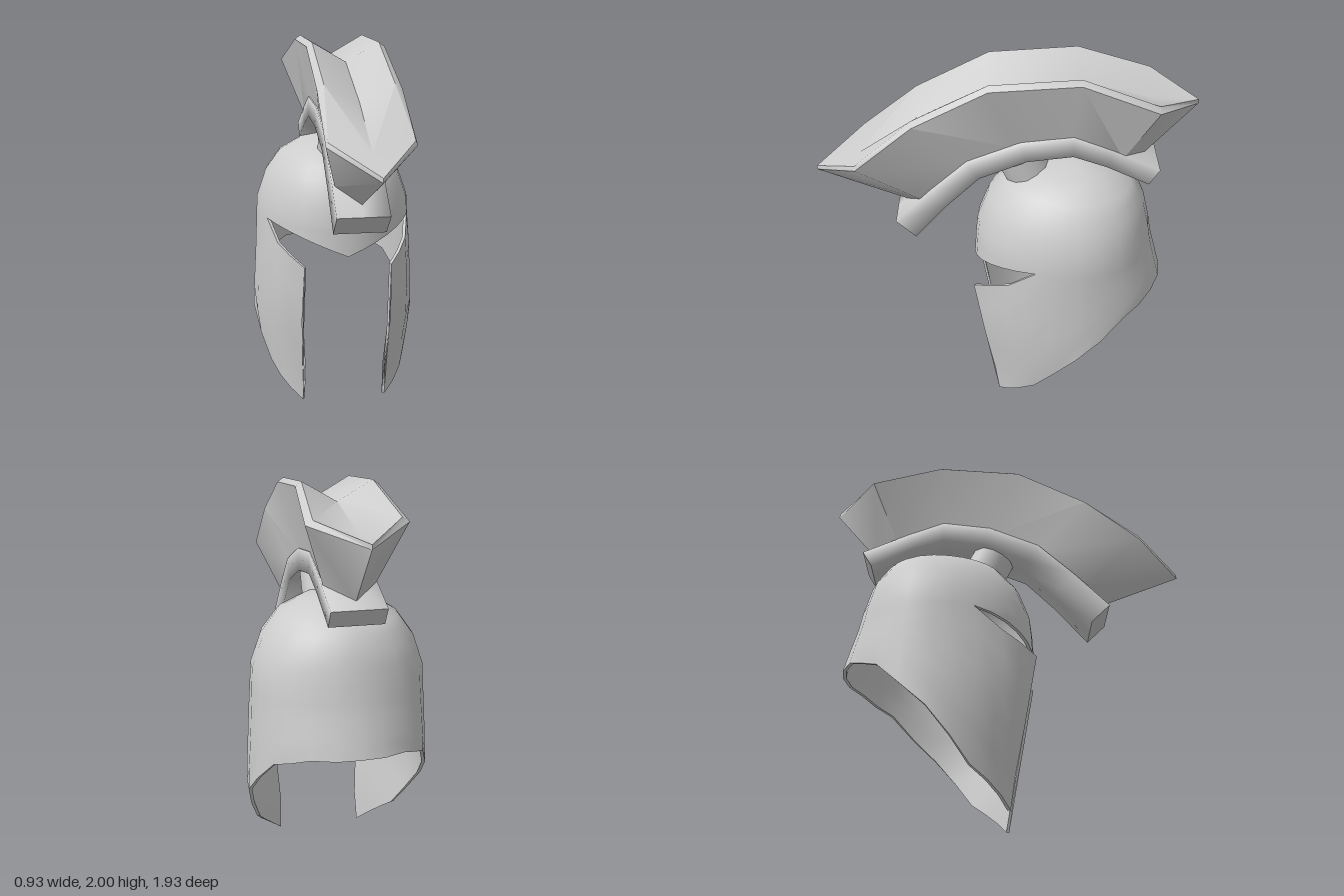
import * as THREE from 'three';
import { mergeVertices, toCreasedNormals } from 'three/addons/utils/BufferGeometryUtils.js';

const steel = new THREE.MeshStandardMaterial({ color: 0xcccccc, side: THREE.DoubleSide });
steel.name = 'steel';

// Mirrored mesh from grids of points given for the +x half
function mirroredMesh(name, grids, crease) {
  const pos = [];
  for (const rows of grids) {
    for (const s of [1, -1]) {
      for (let i = 0; i < rows.length - 1; i++) {
        for (let j = 0; j < rows[i].length - 1; j++) {
          const a = rows[i][j], b = rows[i][j + 1], c = rows[i + 1][j + 1], d = rows[i + 1][j];
          for (const t of [[a, b, c], [a, c, d]]) {
            if (s < 0) t.reverse();
            const [p, q, r] = t.map(v => new THREE.Vector3(...v));
            // skip collapsed triangles at the tips
            if (q.clone().sub(p).cross(r.clone().sub(p)).length() < 1e-8) continue;
            for (const v of t) pos.push(s * v[0], v[1], v[2]);
          }
        }
      }
    }
  }
  let g = new THREE.BufferGeometry();
  g.setAttribute('position', new THREE.Float32BufferAttribute(pos, 3));
  if (crease === undefined) {
    g = mergeVertices(g, 1e-4);
    g.computeVertexNormals();
  } else {
    g = toCreasedNormals(g, crease);
  }
  const m = new THREE.Mesh(g, steel);
  m.name = name;
  return m;
}

// Linear lookup in a table of [key, value], keys ascending
function lookup(table, k) {
  if (k <= table[0][0]) return table[0][1];
  for (let i = 1; i < table.length; i++) {
    const [k0, v0] = table[i - 1], [k1, v1] = table[i];
    if (k <= k1) return v0 + (v1 - v0) * (k - k0) / (k1 - k0);
  }
  return table[table.length - 1][1];
}

// Shell radii by height: sideways, forward (dome and cheek), backward
const CZ = -0.38, TOP = 1.465, EYE = 1.01, THICK = 0.018;
const side = [[0, 0.44], [0.18, 0.425], [0.46, 0.465], [0.8, 0.445], [1.1, 0.432], [1.25, 0.38], [1.36, 0.3], [1.43, 0.18], [TOP, 0]];
const domeFront = [[0.85, 0.535], [EYE, 0.525], [1.1, 0.515], [1.25, 0.46], [1.36, 0.37], [1.43, 0.23], [TOP, 0]];
const cheekFront = [[0, 0.473], [0.8, 0.633], [0.9, 0.6], [EYE, 0.525]];
const back = [[0.69, 0.48], [0.77, 0.487], [1, 0.42], [1.1, 0.4], [1.25, 0.36], [1.36, 0.29], [1.43, 0.16], [TOP, 0]];
// Edges by angle from the front, in degrees
const bottomEdge = [[32, 0], [66, 0.18], [91, 0.45], [123, 0.69], [149, 0.76], [180, 0.77]];
const eyeEdge = [[32, 0.8], [54, 0.9], [66, EYE]];
const bottom = a => lookup(bottomEdge, a);
const eyeLow = a => lookup(eyeEdge, a);
const brow = a => 0.85 + 0.16 * Math.sin(a * Math.PI / 180) / Math.sin(66 * Math.PI / 180);

function shell(a, y, inset, cheek) {
  const r = a * Math.PI / 180, c = Math.cos(r);
  const rz = lookup(c < 0 ? back : cheek && y < EYE ? cheekFront : domeFront, y);
  const rx = lookup(side, y);
  return [
    Math.max(0, rx - inset) * Math.sin(r) * (a === 180 ? 0 : 1),
    y - (y > 1.1 ? inset * (y - 1.1) / 0.365 : 0),
    CZ + Math.max(0, rz - inset) * c
  ];
}

function buildHelmet() {
  const group = new THREE.Group();
  group.name = 'helmet';
  const angles = [0, 11, 22, 32, 43, 54, 66, 78, 91, 107, 123, 136, 149, 165, 180];
  const browA = angles.slice(0, 7), cheekA = angles.slice(3, 7), sideA = angles.slice(6);
  const steps = [0, 0.2, 0.4, 0.6, 0.8, 1];
  const panel = (as, lo, hi, inset, cheek) =>
    steps.map(t => as.map(a => shell(a, lo(a) + (hi(a) - lo(a)) * t, inset, cheek)));
  for (const [name, inset] of [['outerShell', 0], ['innerShell', THICK]]) {
    const grids = [
      [EYE, 1.1, 1.18, 1.25, 1.31, 1.36, 1.4, 1.43, 1.45, TOP].map(y => angles.map(a => shell(a, y, inset, false))),
      panel(browA, brow, () => EYE, inset, false),
      panel(cheekA, bottom, eyeLow, inset, true),
      panel(sideA, bottom, () => EYE, inset, true)
    ];
    if (inset) grids.forEach(g => g.reverse());
    group.add(mirroredMesh(name, grids));
  }
  // Rim closing the thickness along brow, eye slot, cheek and neck edges
  const edge = [
    ...browA.map(a => [a, brow(a), false]),
    ...cheekA.slice().reverse().map(a => [a, eyeLow(a), true]),
    [32, 0.4, true],
    ...angles.slice(3).map(a => [a, bottom(a), true])
  ];
  const rim = [THICK, 0].map(t => edge.map(([a, y, k]) => shell(a, y, t, k)));
  group.add(mirroredMesh('rim', [rim], 0.6));
  return group;
}

function buildPlume() {
  // Stations front to back: ridge z, y, outer x, ridge x, valley z, y, foot z, y, x
  const stations = [
    [0.963, 1.41, 0, 0, 0.963, 1.41, 0.5, 1.2, 0],
    [0.73, 1.54, 0.215, 0.205, 0.74, 1.49, 0.42, 1.28, 0.12],
    [0.44, 1.78, 0.21, 0.175, 0.44, 1.69, 0.18, 1.49, 0.12],
    [0.07, 1.97, 0.205, 0.175, 0.07, 1.87, -0.07, 1.59, 0.12],
    [-0.37, 2.0, 0.205, 0.175, -0.37, 1.9, -0.34, 1.62, 0.12],
    [-0.74, 1.875, 0.24, 0.205, -0.74, 1.81, -0.6, 1.53, 0.12],
    [-0.963, 1.8, 0, 0, -0.963, 1.8, -0.72, 1.49, 0]
  ];
  const rows = stations.map(([z, y, xo, xr, vz, vy, fz, fy, fx]) => [
    [0, vy, vz], [xr, y, z], [xo, y - 0.022, z], [fx, fy, fz], [0, fy - (fx ? 0.02 : 0), fz]
  ]);
  return mirroredMesh('plume', [rows], 0.75);
}

function buildHolder() {
  const group = new THREE.Group();
  group.name = 'plumeHolder';
  // Curved bar: upper z, y and lower z, y, front to back
  const bar = [
    [0.56, 1.15, 0.46, 1.05], [0.37, 1.345, 0.29, 1.25], [0.18, 1.52, 0.12, 1.42], [-0.09, 1.63, -0.12, 1.52],
    [-0.35, 1.66, -0.35, 1.55], [-0.55, 1.58, -0.52, 1.49], [-0.79, 1.47, -0.74, 1.385]
  ];
  const rows = bar.map(([tz, ty, bz, by]) => [[0, ty, tz], [0.135, ty, tz], [0.135, by, bz], [0, by, bz]]);
  group.add(mirroredMesh('curvedBar', [rows]));
  const cap = r => [[r[3], r[2]], [r[0], r[1]]];
  group.add(mirroredMesh('barEnds', [cap(rows[0]), cap(rows[rows.length - 1]).reverse()], 0.5));
  // Tilted post joining bar and dome
  const post = new THREE.Mesh(new THREE.CylinderGeometry(0.12, 0.12, 0.22, 12), steel);
  post.name = 'post';
  post.position.set(0, 1.45, -0.095);
  post.rotation.x = 0.46;
  group.add(post);
  return group;
}

export function createModel() {
  const model = new THREE.Group();
  model.name = 'crestedHelmet';
  model.add(buildHelmet(), buildPlume(), buildHolder());
  return model;
}
